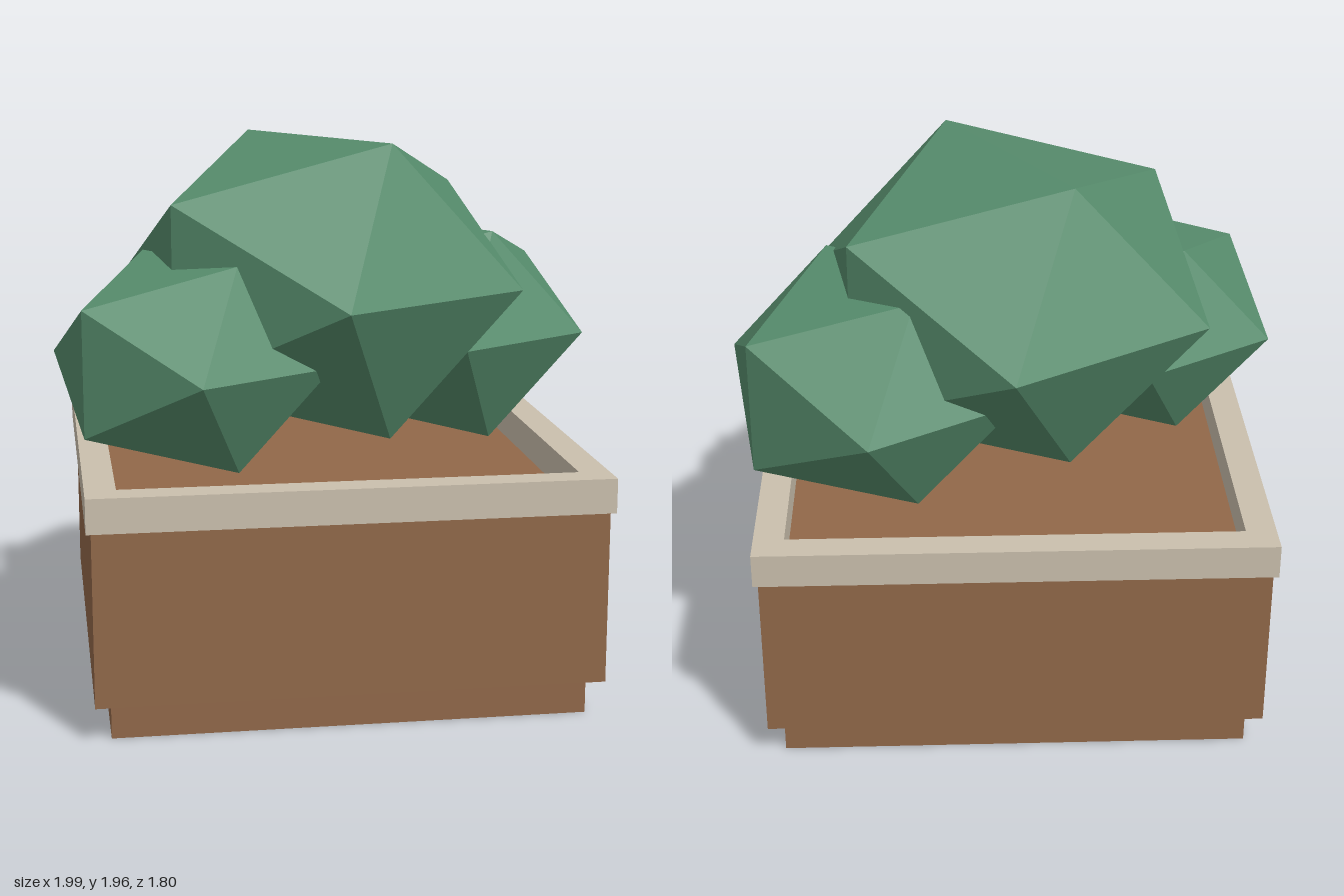
import * as THREE from 'three';

export function createModel() {
  const group = new THREE.Group();
  const mat = (color) => new THREE.MeshStandardMaterial({ color, flatShading: true });
  const brown = mat(0x916849), stone = mat(0xcabfad), green = mat(0x568c6c);
  const cx = -0.02; // the planter sits slightly off the middle

  const add = (name, geometry, material, x, y, z) => {
    const mesh = new THREE.Mesh(geometry, material);
    mesh.name = name;
    mesh.position.set(x, y, z);
    group.add(mesh);
  };

  // Planter: recessed foot and body, whose top is the soil
  add('foot', new THREE.BoxGeometry(1.66, 0.13, 1.66), brown, cx, 0.065, 0);
  add('body', new THREE.BoxGeometry(1.77, 0.615, 1.77), brown, cx, 0.4375, 0);

  // Square rim with an open middle
  const square = (path, h) => path.setFromPoints(
    [[-h, -h], [h, -h], [h, h], [-h, h]].map(([x, y]) => new THREE.Vector2(x, y)));
  const outline = square(new THREE.Shape(), 0.902);
  outline.holes.push(square(new THREE.Path(), 0.795));
  const rim = new THREE.ExtrudeGeometry(outline, { depth: 0.122, bevelEnabled: false });
  rim.rotateX(-Math.PI / 2);
  add('rim', rim, stone, cx, 0.743, 0);

  // Bush: flattened icosahedra, each with one corner pointing to the front
  const foliage = (name, r, x, y, z) => {
    const geometry = new THREE.IcosahedronGeometry(r, 0);
    geometry.rotateX(Math.atan(2 / (1 + Math.sqrt(5))));
    geometry.rotateZ(Math.PI / 10);
    geometry.scale(1, 0.8, 1);
    add(name, geometry, green, x, y, z);
  };
  foliage('mainFoliage', 0.782, -0.02, 1.43, -0.003);
  foliage('rightFoliage', 0.536, -0.52, 1.197, 0.269);
  foliage('leftFoliage', 0.579, 0.477, 1.21, -0.231);

  return group;
}
